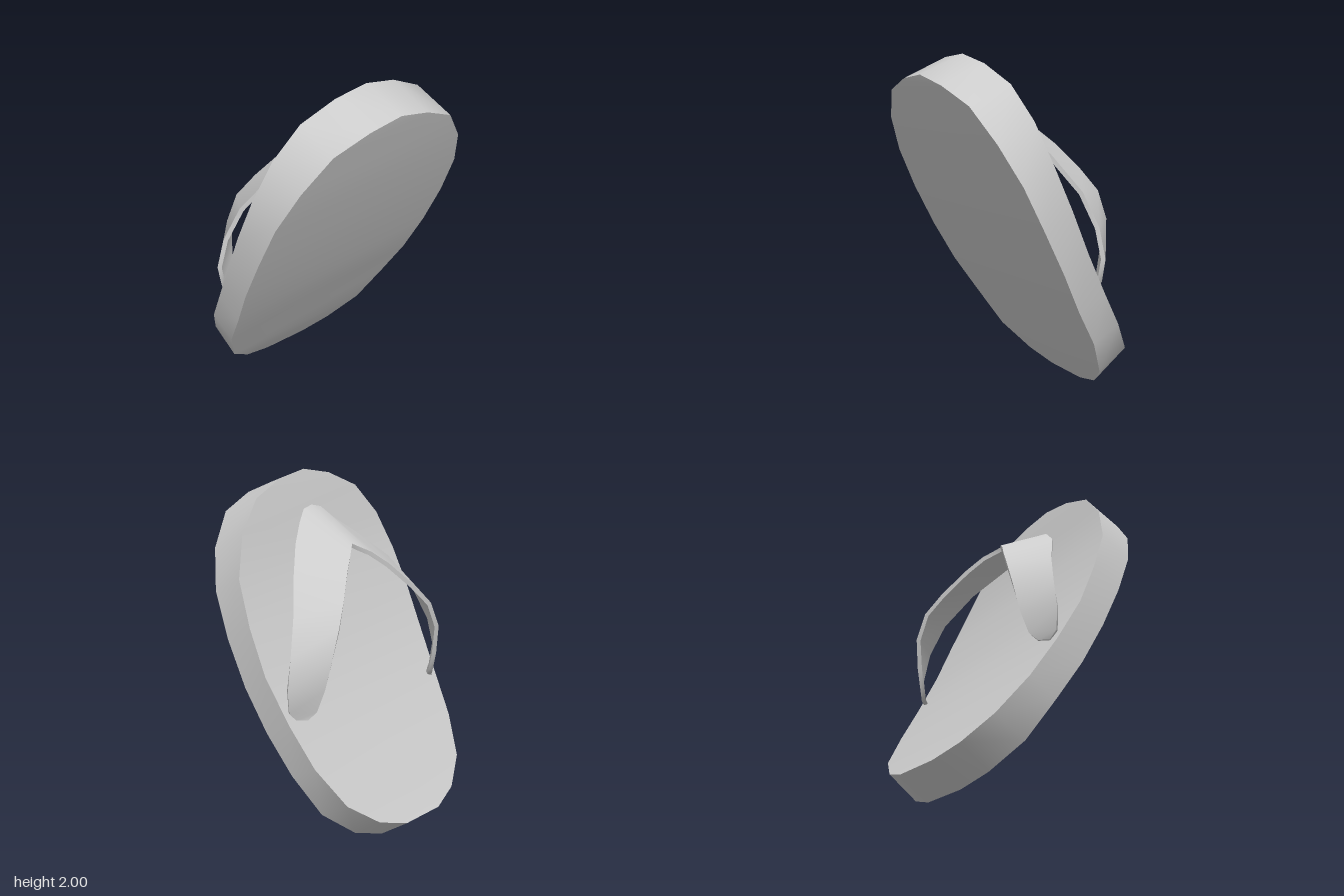
import * as THREE from 'three';
import { toCreasedNormals } from 'three/addons/utils/BufferGeometryUtils.js';

// Skin a row of four-cornered rings, close both ends, keep the rims sharp
function loft(rings) {
  const n = rings[0].length, pos = [], index = [];
  rings.forEach(r => r.forEach(p => pos.push(p.x, p.y, p.z)));
  for (let i = 0; i < rings.length - 1; i++) {
    for (let j = 0; j < n; j++) {
      const a = i * n + j, b = i * n + (j + 1) % n;
      index.push(a, b, b + n, a, b + n, a + n);
    }
  }
  const e = (rings.length - 1) * n;
  index.push(0, 2, 1, 0, 3, 2, e, e + 1, e + 2, e, e + 2, e + 3);
  const g = new THREE.BufferGeometry();
  g.setAttribute('position', new THREE.Float32BufferAttribute(pos, 3));
  g.setIndex(index);
  return toCreasedNormals(g, 0.9);
}

const V = (x, y, z) => new THREE.Vector3(x, y, z);

// Sole, toe to heel: half width, underside y and z, footbed y and z
const SOLE = [
  [0, 1.905, 0.588, 2.0, 0.322], [0.2, 1.865, 0.575, 1.965, 0.312],
  [0.41, 1.78, 0.54, 1.875, 0.287], [0.56, 1.6, 0.47, 1.7, 0.245],
  [0.65, 1.385, 0.373, 1.475, 0.183], [0.677, 1.14, 0.258, 1.228, 0.08],
  [0.677, 0.885, 0.128, 0.98, -0.03], [0.645, 0.645, 0, 0.73, -0.172],
  [0.6, 0.42, -0.143, 0.505, -0.315], [0.5, 0.195, -0.27, 0.3, -0.457],
  [0.33, 0.055, -0.37, 0.175, -0.545], [0.145, 0, -0.41, 0.12, -0.588],
];

// Strap, toe point to side end: toe-side edge, then ankle-side edge
const STRAP = [
  [0, 1.8, 0.262, 0, 1.61, -0.05],
  [0.07, 1.785, 0.256, 0.035, 1.59, -0.075],
  [0.14, 1.72, 0.222, 0.09, 1.56, -0.115],
  [0.26, 1.62, 0.14, 0.18, 1.487, -0.172],
  [0.4, 1.48, 0.02, 0.305, 1.354, -0.256],
  [0.53, 1.28, -0.1, 0.4, 1.24, -0.31],
  [0.61, 1.09, -0.155, 0.465, 1.09, -0.322],
  [0.65, 0.92, -0.17, 0.49, 0.915, -0.29],
  [0.632, 0.79, -0.162, 0.512, 0.79, -0.25],
  [0.59, 0.746, -0.172, 0.545, 0.746, -0.217],
];

function soleGeometry() {
  return loft(SOLE.map(([w, yu, zu, yf, zf]) =>
    [V(w, yf, zf), V(w, yu, zu), V(-w, yu, zu), V(-w, yf, zf)]));
}

function strapGeometry(thickness) {
  // Mirror the half into one band running from -x to +x
  const mirrored = STRAP.slice(1).reverse().map(([a, b, c, d, e, f]) => [-a, b, c, -d, e, f]);
  const rows = [...mirrored, ...STRAP].map(r => ({ toe: V(r[0], r[1], r[2]), ankle: V(r[3], r[4], r[5]) }));
  const mid = rows.map(r => r.toe.clone().add(r.ankle).multiplyScalar(0.5));
  return loft(rows.map(({ toe, ankle }, i) => {
    const along = mid[Math.min(i + 1, mid.length - 1)].clone().sub(mid[Math.max(i - 1, 0)]);
    const inward = toe.clone().sub(ankle).cross(along).normalize().multiplyScalar(-thickness);
    return [ankle, toe, toe.clone().add(inward), ankle.clone().add(inward)];
  }));
}

export function createModel() {
  const group = new THREE.Group();
  group.name = 'sandal';
  const material = new THREE.MeshStandardMaterial({ color: 0xcccccc });
  const add = (name, geometry) => {
    const mesh = new THREE.Mesh(geometry, material);
    mesh.name = name;
    group.add(mesh);
  };
  add('sole', soleGeometry());
  add('strap', strapGeometry(0.025));
  return group;
}
